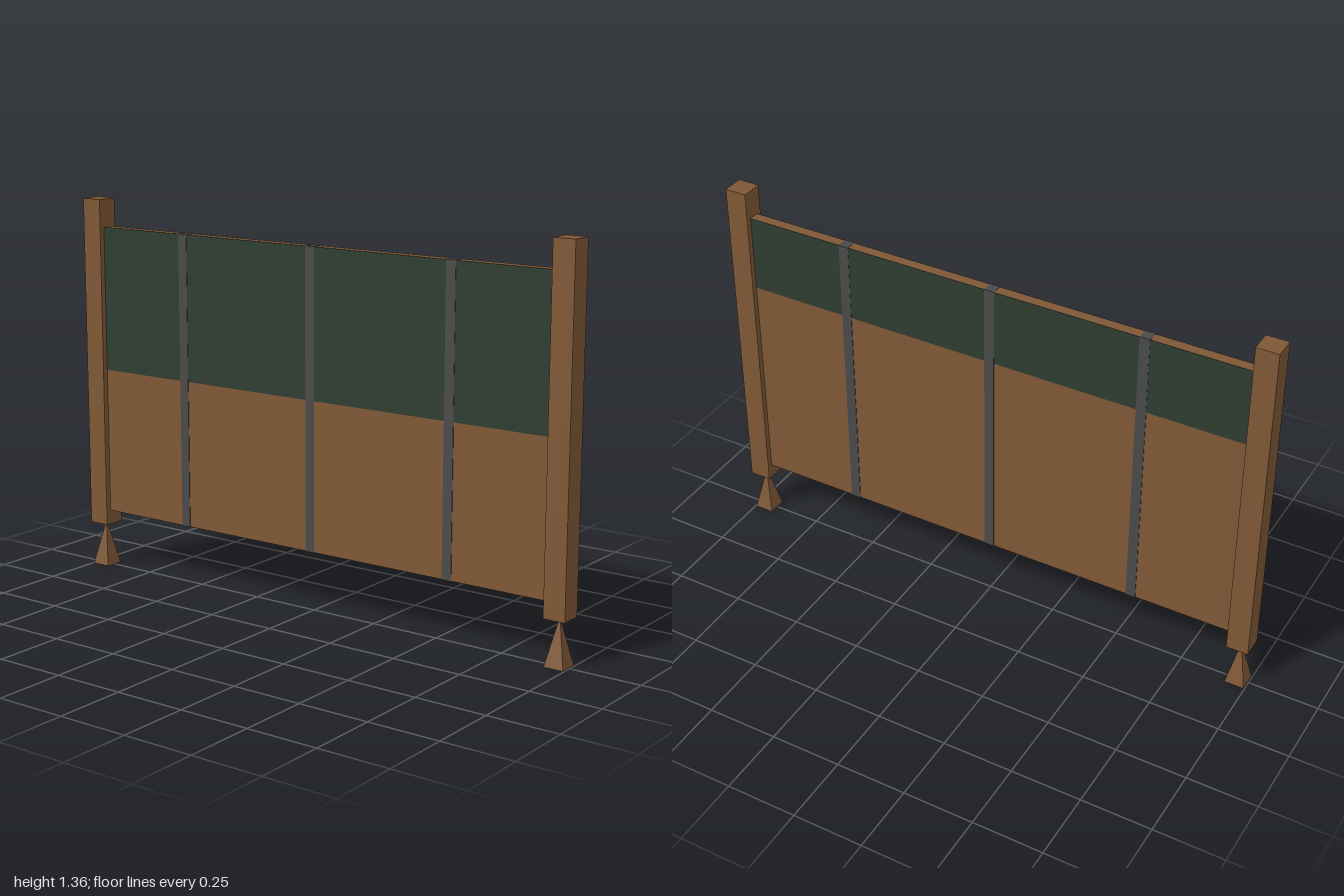
import * as THREE from 'three';

export function createModel() {
  const group = new THREE.Group();
  const material = (name, color) => {
    const m = new THREE.MeshStandardMaterial({ color });
    m.name = name;
    return m;
  };
  const wood = material('brown wood', 0x7f5836);
  const green = material('dark green', 0x2e3d30);
  const grey = material('dark grey', 0x4a4a4b);

  const add = (name, geometry, mat, x, y, z) => {
    const mesh = new THREE.Mesh(geometry, mat);
    mesh.name = name;
    mesh.position.set(x, y, z);
    group.add(mesh);
    return mesh;
  };
  // Box given by its centre x and z and its bottom and top heights
  const box = (name, mat, x, z, w, d, y0, y1) =>
    add(name, new THREE.BoxGeometry(w, y1 - y0, d), mat, x, (y0 + y1) / 2, z);

  const bottom = 0.212, top = 1.26, thick = 0.036, width = 1.846;

  // Wooden board between the posts
  box('panel', wood, 0, 0, width, thick, bottom, top);

  // Green upper bands: deep on the front, shallow on the back
  const plate = 0.001;
  box('frontGreenBand', green, 0, thick / 2 + plate / 2, width, plate, 0.74, top);
  box('backGreenBand', green, 0, -thick / 2 - plate / 2, width, plate, 0.985, top);

  // Grey straps running around the board
  for (const x of [-0.555, -0.004, 0.549]) {
    box('strap', grey, x, 0, 0.036, thick + 0.004, bottom - 0.001, top + 0.001);
  }

  // Posts, each standing on a square pyramid foot
  const foot = new THREE.ConeGeometry(0.035 * Math.SQRT2, 0.165, 4).toNonIndexed();
  foot.rotateY(Math.PI / 4);
  foot.computeVertexNormals();
  for (const side of [-1, 1]) {
    const name = side > 0 ? 'left' : 'right';
    box(name + 'Post', wood, side * 0.961, 0, 0.078, 0.078, 0.16, 1.36);
    add(name + 'Foot', foot, wood, side * 0.961, 0.0825, 0);
  }
  return group;
}
